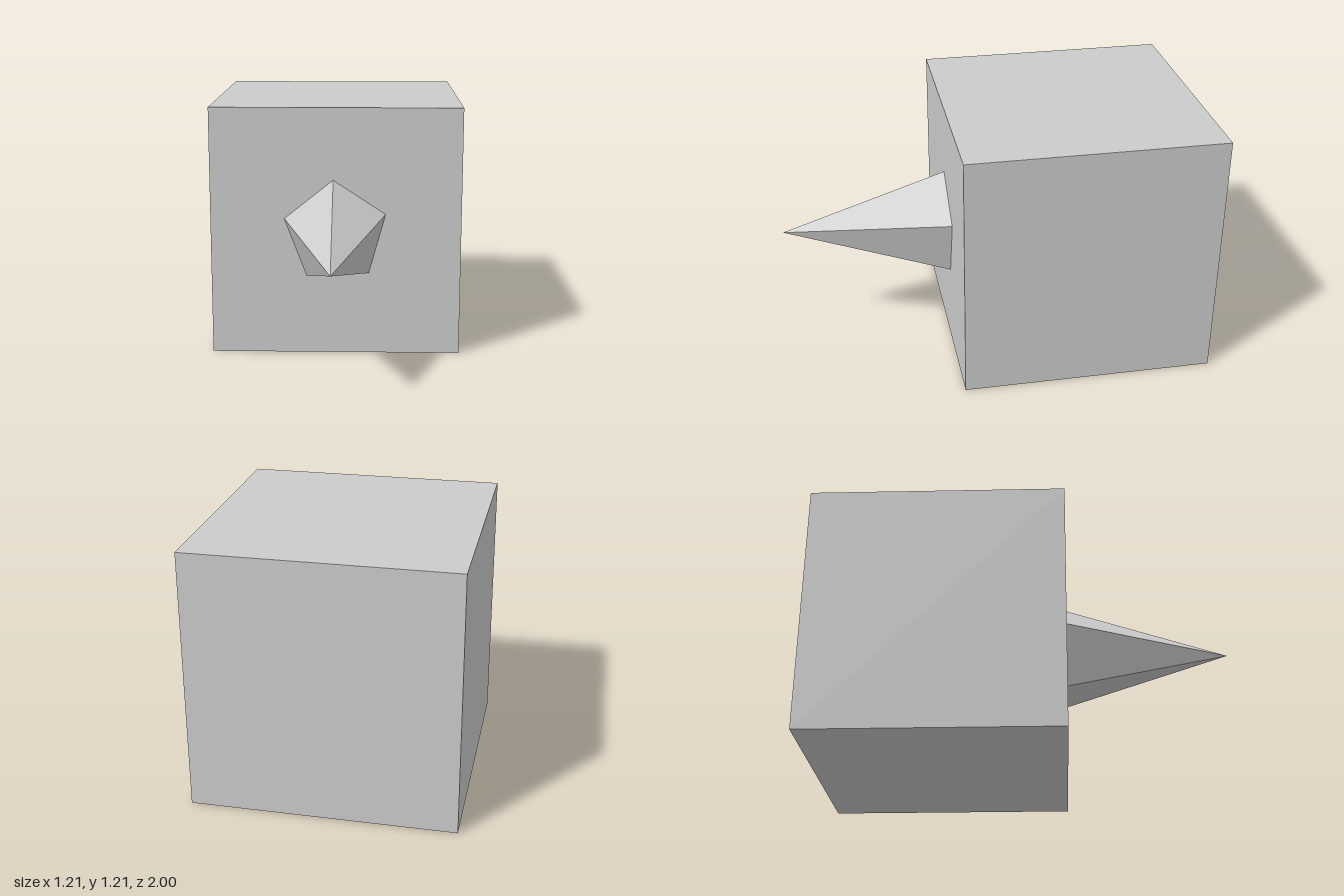
import * as THREE from 'three';

export function createModel() {
  const group = new THREE.Group();
  const material = new THREE.MeshStandardMaterial({ color: 0xcccccc, flatShading: true });
  const size = 1.205;
  const frontZ = -1 + size;

  function addPart(name, geometry, y, z) {
    const mesh = new THREE.Mesh(geometry, material);
    mesh.name = name;
    mesh.position.set(0, y, z);
    group.add(mesh);
  }

  // Cube body
  addPart('body', new THREE.BoxGeometry(size, size, size), size / 2, -1 + size / 2);

  // Five-sided spike pointing forward from the middle of the front face
  const length = 1 - frontZ;
  const spike = new THREE.ConeGeometry(0.256, length, 5, 1, false, Math.PI + 0.047);
  spike.rotateX(Math.PI / 2);
  addPart('spike', spike, size / 2, frontZ + length / 2);

  return group;
}
